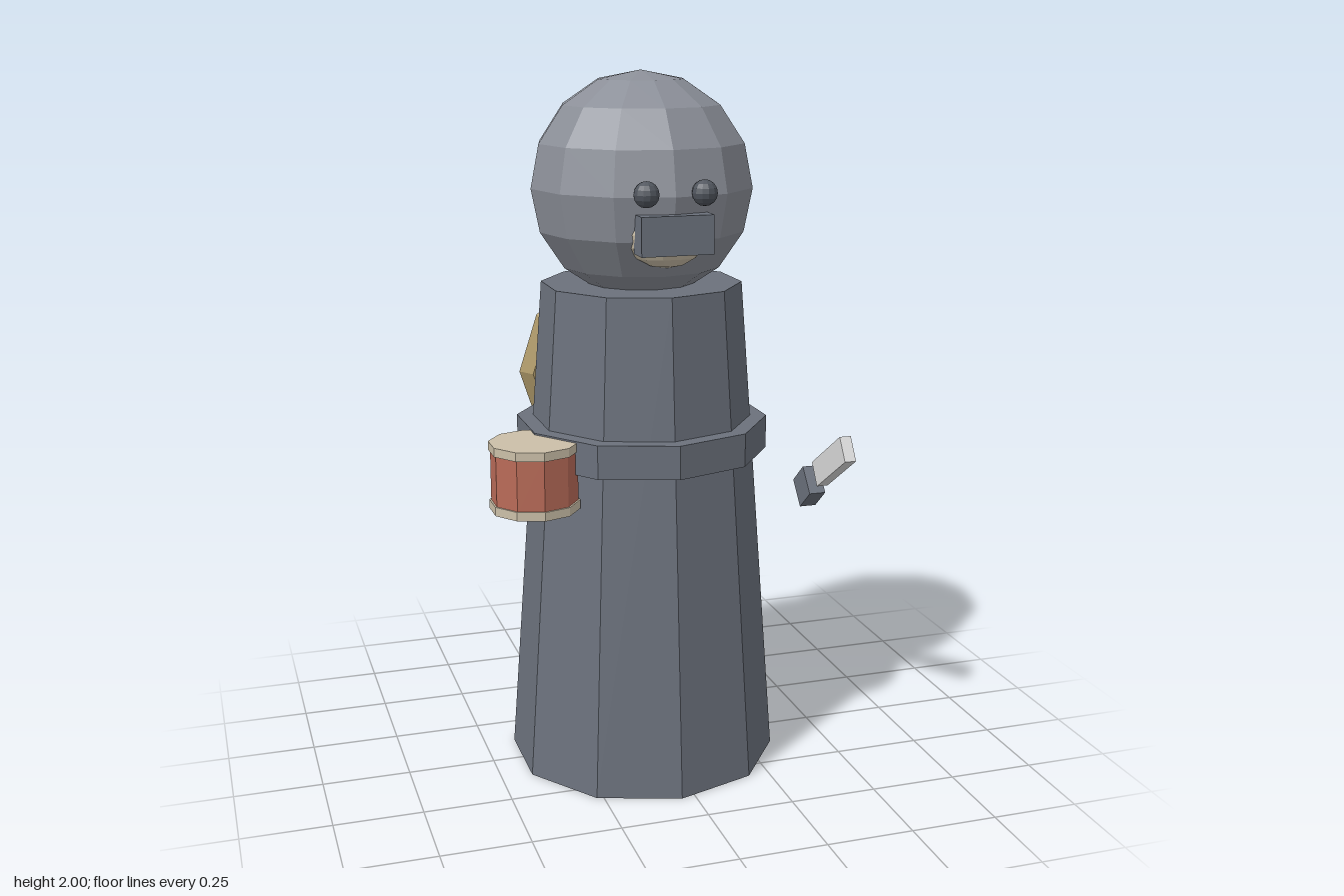
import * as THREE from 'three';

function mat(name, color, flatShading = true) {
  const m = new THREE.MeshStandardMaterial({ color, flatShading });
  m.name = name;
  return m;
}

export function createModel() {
  const slate = mat('slate', 0x6b717c);
  const stone = mat('stone', 0x8b8f98);
  const dark = mat('charcoal', 0x50555d);
  const cream = mat('cream', 0xcbbfa8);
  const red = mat('red', 0xb96b58);
  const brass = mat('brass', 0xac9768);
  const pale = mat('pale', 0xdadada);

  const model = new THREE.Group();
  model.name = 'figure';
  const cx = -0.04; // body axis

  const add = (name, geometry, material, x, y, z, parent = model) => {
    const mesh = new THREE.Mesh(geometry, material);
    mesh.name = name;
    mesh.position.set(x, y, z);
    parent.add(mesh);
    return mesh;
  };
  const box = (w, h, d) => new THREE.BoxGeometry(w, h, d);
  const drumShape = (top, bottom, h) => new THREE.CylinderGeometry(top, bottom, h, 10);

  // Tapered robe and belt
  add('body', drumShape(0.284, 0.39, 1.415), slate, cx, 0.7075, 0);
  add('belt', drumShape(0.36, 0.36, 0.095), slate, cx, 0.9775, 0);

  // Head and face
  add('head', new THREE.SphereGeometry(0.315, 12, 8), stone, cx, 1.685, 0);
  add('muzzle', new THREE.SphereGeometry(0.12, 10, 8), cream, cx, 1.585, 0.24).scale.set(1, 0.8, 0.6);
  add('mouth', box(0.2, 0.105, 0.07), slate, cx, 1.587, 0.3);
  for (const side of [-1, 1]) {
    add(side > 0 ? 'leftEye' : 'rightEye', new THREE.SphereGeometry(0.035, 12, 8),
      dark, cx + side * 0.08, 1.695, 0.312);
  }

  // Drum at the right hip
  const drum = new THREE.Group();
  drum.name = 'drum';
  drum.position.set(-0.4, 0.925, 0.175);
  model.add(drum);
  add('drumShell', drumShape(0.12, 0.12, 0.16), red, 0, 0, 0, drum);
  for (const side of [-1, 1]) {
    add(side > 0 ? 'topRim' : 'bottomRim', drumShape(0.125, 0.125, 0.025), cream, 0, side * 0.083, 0, drum);
  }

  // Floating tool on the left: pale blade and slate grip
  add('toolBlade', box(0.034, 0.076, 0.233), pale, 0.49, 0.886, 0.175).rotation.x = -0.58;
  add('toolGrip', box(0.05, 0.09, 0.095), slate, 0.49, 0.762, 0).rotation.x = -0.7;

  // Ring on the back with its clasp
  add('backRing', new THREE.TorusGeometry(0.23, 0.06, 6, 10), brass, cx, 1.107, -0.303);
  add('ringClasp', box(0.075, 0.13, 0.07), pale, cx, 1.395, -0.32);

  return model;
}
